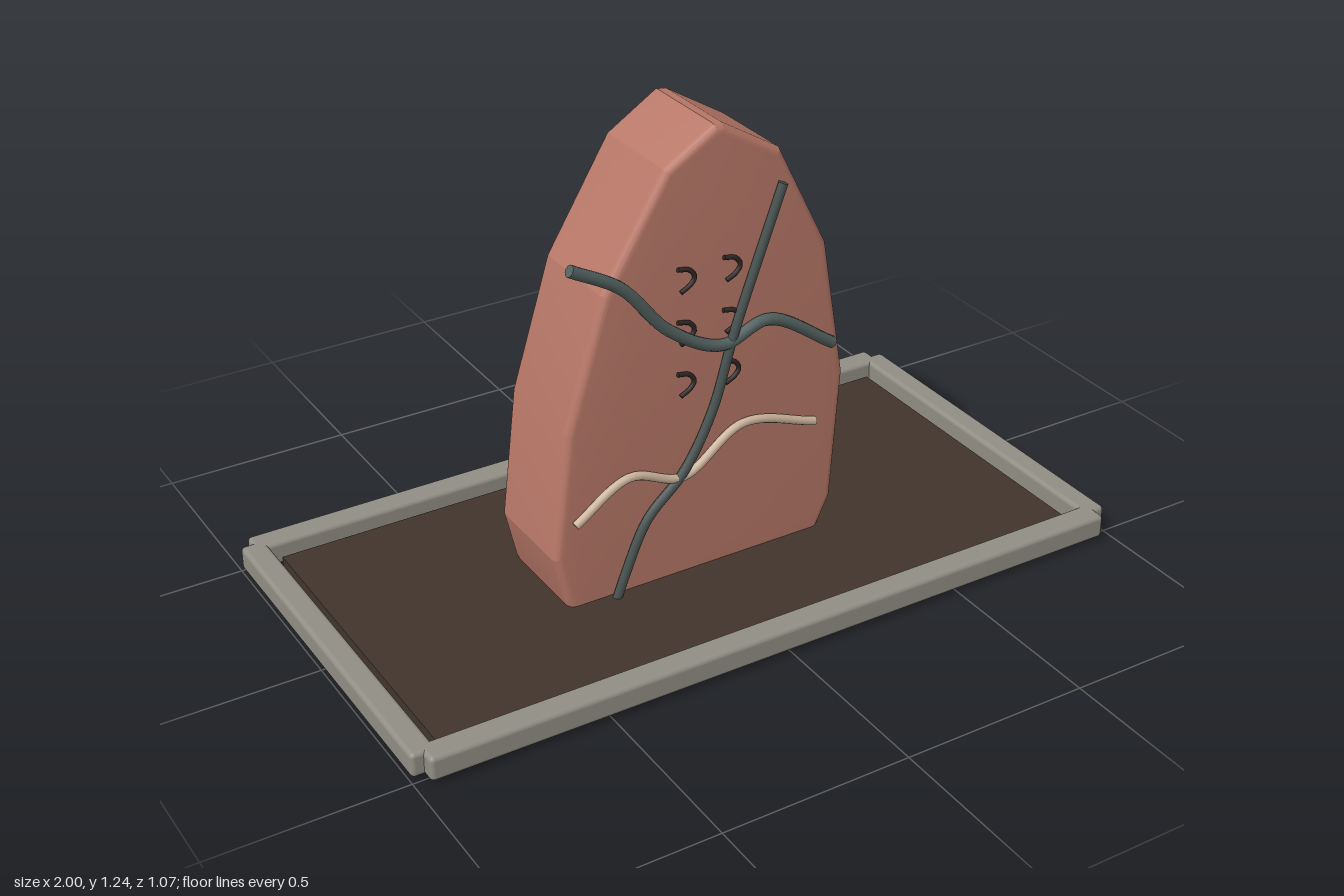
import * as THREE from 'three';
import { toCreasedNormals } from 'three/addons/utils/BufferGeometryUtils.js';
import { RoundedBoxGeometry } from 'three/addons/geometries/RoundedBoxGeometry.js';

const material = (color) => new THREE.MeshStandardMaterial({ color });

export function createModel() {
  const group = new THREE.Group();
  const add = (name, geometry, mat, x = 0, y = 0, z = 0) => {
    const mesh = new THREE.Mesh(geometry, mat);
    mesh.name = name;
    mesh.position.set(x, y, z);
    group.add(mesh);
    return mesh;
  };

  // Soil bed with a narrow gap to the curb
  add('soilBed', new THREE.BoxGeometry(1.82, 0.035, 0.875), material(0x42342d), 0, 0.0275, -0.003);

  // Curb: two long and two short rounded bars, notched at the corners
  const curb = material(0x918e84);
  for (const s of [-1, 1]) {
    add('curbLong', new RoundedBoxGeometry(1.935, 0.065, 0.07, 3, 0.012), curb, 0, 0.0425, s * 0.4975);
    add('curbShort', new RoundedBoxGeometry(0.065, 0.065, 0.995, 3, 0.012), curb, s * 0.9665, 0.0425, 0);
  }

  // Upright stone slab with an irregular outline and rounded edges
  const outline = [
    [-0.38, 0], [0.32, 0], [0.378, 0.12], [0.403, 0.48], [0.34, 0.855], [0.2, 1.135],
    [0.04, 1.232], [0.015, 1.235], [-0.12, 1.15], [-0.29, 0.87], [-0.395, 0.53],
    [-0.435, 0.19], [-0.405, 0.06],
  ];
  const bevel = 0.022;
  const slab = new THREE.ExtrudeGeometry(new THREE.Shape(outline.map((p) => new THREE.Vector2(...p))), {
    depth: 0.284 - 2 * bevel, bevelEnabled: true, bevelSize: bevel, bevelThickness: bevel,
    bevelOffset: -bevel, bevelSegments: 8,
  });
  slab.translate(0, 0, -0.141 + bevel);
  add('stoneSlab', toCreasedNormals(slab, 0.21), material(0xb87868));

  // Vines: capped tubes along smooth curves on the front face
  const vine = (name, points, radius, mat, z, segments = 48) => {
    const curve = new THREE.CatmullRomCurve3(points.map(([x, y]) => new THREE.Vector3(x, y, z)));
    const tube = add(name, new THREE.TubeGeometry(curve, segments, radius, 10), mat);
    for (const t of [0, 1]) {
      const cap = new THREE.Mesh(new THREE.CircleGeometry(radius, 10), mat);
      cap.name = name + 'End';
      cap.position.copy(curve.getPoint(t));
      cap.lookAt(cap.position.clone().addScaledVector(curve.getTangent(t), t ? 1 : -1));
      tube.add(cap);
    }
  };
  vine('climbingVine', [[-0.28, 0.02], [-0.25, 0.1], [-0.185, 0.24], [-0.08, 0.345], [0, 0.49], [0.065, 0.7], [0.195, 1.055]],
    0.0125, material(0x46514f), 0.157);
  vine('crossingVine', [[-0.385, 0.97], [-0.25, 0.89], [-0.12, 0.745], [0.03, 0.665], [0.16, 0.7], [0.355, 0.583]],
    0.0155, material(0x52615f), 0.155);
  vine('paleRoot', [[-0.385, 0.287], [-0.235, 0.375], [-0.08, 0.33], [0.09, 0.43], [0.307, 0.372]],
    0.0115, material(0xcbb49c), 0.156);

  // Small carved hooks in three rows of two
  const hook = material(0x2e2725);
  for (const y of [0.865, 0.725, 0.585]) {
    for (const x of [-0.07, 0.058]) {
      vine('hookMark', [[x - 0.023, y + 0.03], [x + 0.01, y + 0.022], [x + 0.024, y], [x + 0.012, y - 0.018], [x - 0.014, y - 0.032]],
        0.006, hook, 0.149, 16);
    }
  }
  return group;
}
